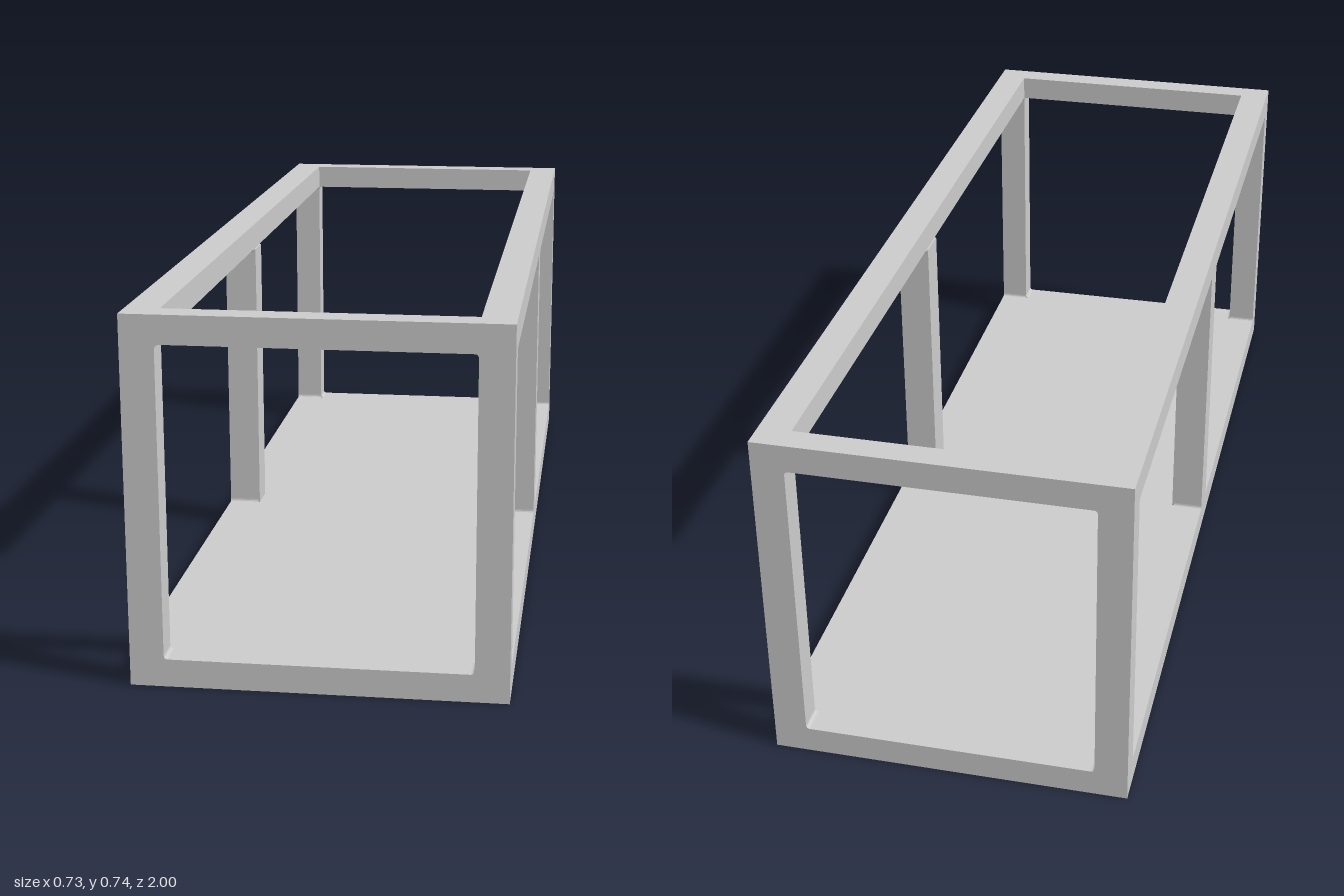
import * as THREE from 'three';

const W = 0.367, H = 0.736, L = 1;      // half width, height, half length
const IN_X = 0.3, IN_Z = 0.945;         // inner faces of the frame
const LOW = 0.056, TOP = 0.679;         // opening bottom and top
const POST = 0.035, R = 0.008;          // half width of middle post, fillet

const material = new THREE.MeshStandardMaterial({ color: 0xcccccc });

function add(group, name, geometry, x = 0, y = 0, z = 0) {
  const mesh = new THREE.Mesh(geometry, material);
  mesh.name = name;
  mesh.position.set(x, y, z);
  group.add(mesh);
}

// Traces a rounded opening anticlockwise between u0 and u1
function traceOpening(path, u0, u1) {
  path.moveTo(u1, LOW + R);
  path.lineTo(u1, TOP - R);
  path.quadraticCurveTo(u1, TOP, u1 - R, TOP);
  path.lineTo(u0 + R, TOP);
  path.quadraticCurveTo(u0, TOP, u0, TOP - R);
  path.lineTo(u0, LOW + R);
  path.quadraticCurveTo(u0, LOW, u0 + R, LOW);
  path.lineTo(u1 - R, LOW);
  path.quadraticCurveTo(u1, LOW, u1, LOW + R);
  return path;
}

// Rectangular end frame with one rounded opening
function endFrame() {
  const shape = new THREE.Shape([
    new THREE.Vector2(-W, 0), new THREE.Vector2(W, 0),
    new THREE.Vector2(W, H), new THREE.Vector2(-W, H),
  ]);
  shape.holes.push(traceOpening(new THREE.Path(), -IN_X, IN_X));
  return new THREE.ExtrudeGeometry(shape, { depth: L - IN_Z, bevelEnabled: false, curveSegments: 4 });
}

// Top rail, bottom rail and middle post in one I-shaped outline
function sideFrame() {
  const s = new THREE.Shape();
  s.moveTo(-IN_Z, 0);
  s.lineTo(IN_Z, 0);
  s.lineTo(IN_Z, LOW + R);
  s.quadraticCurveTo(IN_Z, LOW, IN_Z - R, LOW);
  s.lineTo(POST + R, LOW);
  s.quadraticCurveTo(POST, LOW, POST, LOW + R);
  s.lineTo(POST, TOP - R);
  s.quadraticCurveTo(POST, TOP, POST + R, TOP);
  s.lineTo(IN_Z - R, TOP);
  s.quadraticCurveTo(IN_Z, TOP, IN_Z, TOP - R);
  s.lineTo(IN_Z, H);
  s.lineTo(-IN_Z, H);
  s.lineTo(-IN_Z, TOP - R);
  s.quadraticCurveTo(-IN_Z, TOP, -IN_Z + R, TOP);
  s.lineTo(-POST - R, TOP);
  s.quadraticCurveTo(-POST, TOP, -POST, TOP - R);
  s.lineTo(-POST, LOW + R);
  s.quadraticCurveTo(-POST, LOW, -POST - R, LOW);
  s.lineTo(-IN_Z + R, LOW);
  s.quadraticCurveTo(-IN_Z, LOW, -IN_Z, LOW + R);
  s.lineTo(-IN_Z, 0);
  const depth = W - IN_X;
  const geometry = new THREE.ExtrudeGeometry(s, { depth, bevelEnabled: false, curveSegments: 4 });
  return geometry.translate(0, 0, -depth / 2).rotateY(-Math.PI / 2);
}

export function createModel() {
  const model = new THREE.Group();
  model.name = 'openFrame';

  // Front and back frames
  add(model, 'frontFrame', endFrame(), 0, 0, IN_Z);
  add(model, 'backFrame', endFrame(), 0, 0, -L);

  // Side frames, with the middle posts standing slightly proud inside
  for (const [side, name] of [[1, 'left'], [-1, 'right']]) {
    add(model, name + 'SideFrame', sideFrame(), side * (W + IN_X) / 2);
    add(model, name + 'PostFace', new THREE.BoxGeometry(0.004, TOP - LOW, 2 * POST),
      side * (IN_X - 0.002), (TOP + LOW) / 2, 0);
  }

  // Solid floor flush with the bottom rails
  add(model, 'floor', new THREE.BoxGeometry(2 * IN_X, LOW, 2 * IN_Z), 0, LOW / 2, 0);
  return model;
}
